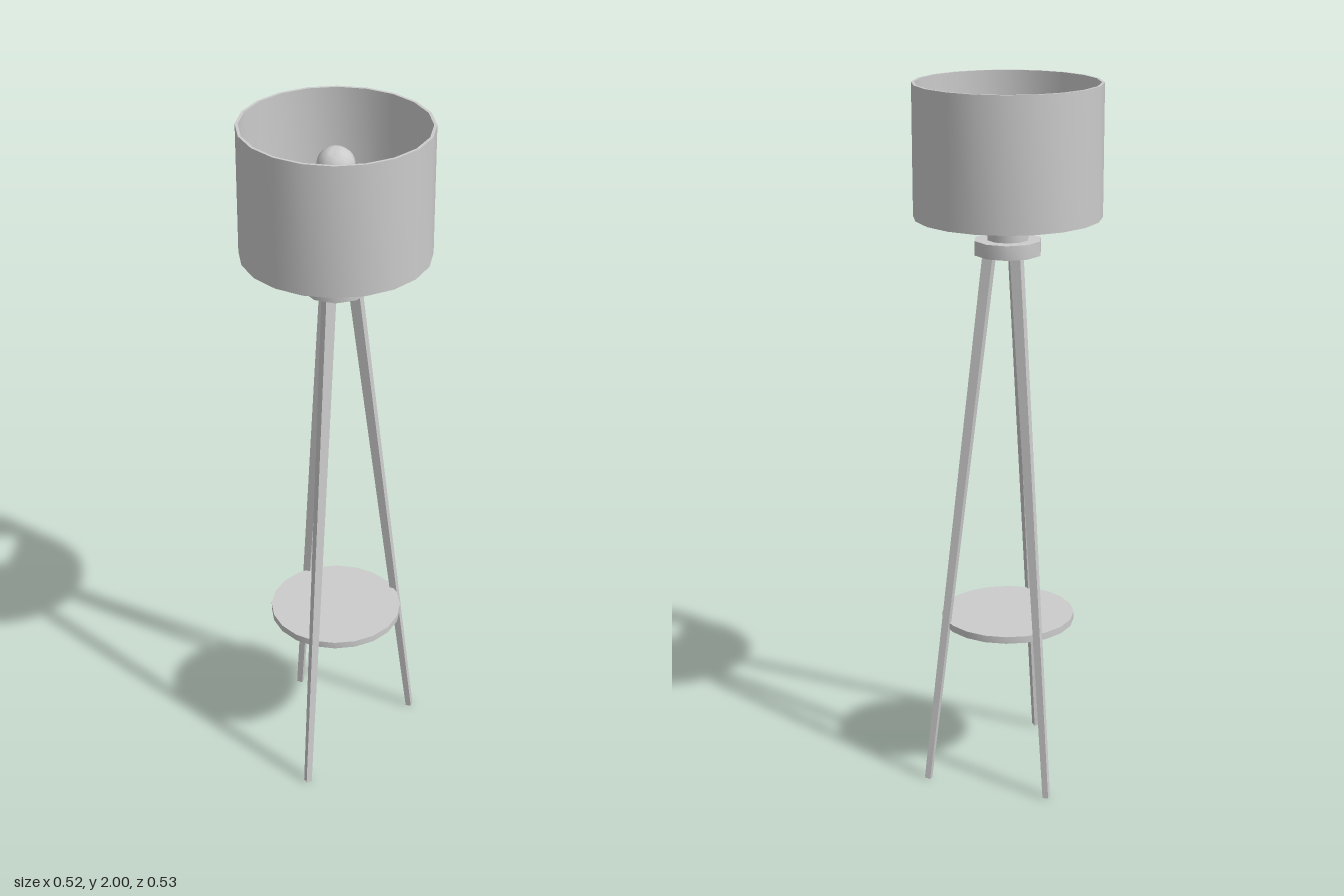
import * as THREE from 'three';
import { toCreasedNormals } from 'three/addons/utils/BufferGeometryUtils.js';

const grey = new THREE.MeshStandardMaterial({ color: 0xcccccc });
const greyFlat = new THREE.MeshStandardMaterial({ color: 0xcccccc, flatShading: true });

function add(parent, name, geometry, material = grey) {
  const mesh = new THREE.Mesh(geometry, material);
  mesh.name = name;
  parent.add(mesh);
  return mesh;
}

// Turned part from a profile of [radius, height], listed upwards on the outside
function turned(profile, sides, start = 0) {
  const points = profile.map(([r, y]) => new THREE.Vector2(r, y));
  return toCreasedNormals(new THREE.LatheGeometry(points, sides, start), 0.75);
}

// Solid disc or drum between two heights
function drum(radius, y0, y1, sides, start) {
  return turned([[0, y0], [radius, y0], [radius, y1], [0, y1]], sides, start);
}

// Tapered four-sided leg with one ridge facing outwards
function addLeg(parent, name, angle) {
  const foot = new THREE.Vector3(0, 0.0015, 0.256);
  const top = new THREE.Vector3(0, 1.545, 0.055);
  const axis = top.clone().sub(foot);
  const pivot = new THREE.Group();
  pivot.rotation.y = angle;
  const leg = add(pivot, name, new THREE.CylinderGeometry(0.021, 0.012, axis.length(), 4), greyFlat);
  leg.position.copy(foot).add(top).multiplyScalar(0.5);
  leg.quaternion.setFromUnitVectors(new THREE.Vector3(0, 1, 0), axis.normalize());
  parent.add(pivot);
}

export function createModel() {
  const lamp = new THREE.Group();
  lamp.name = 'tripodFloorLamp';
  lamp.position.z = -0.0065;

  // Tripod: one leg in front, two splayed to the back
  addLeg(lamp, 'frontLeg', 0);
  addLeg(lamp, 'backLeftLeg', Math.PI * 0.75);
  addLeg(lamp, 'backRightLeg', -Math.PI * 0.75);

  // Round shelf between the legs
  add(lamp, 'shelf', drum(0.19, 0.46, 0.48, 20));

  // Collar holding the legs, and the socket above it
  add(lamp, 'collar', drum(0.094, 1.535, 1.575, 10, Math.PI / 2));
  add(lamp, 'socket', drum(0.058, 1.575, 1.67, 10, Math.PI / 2));

  // Bulb: narrow stem swelling into a round top
  const bulb = [[0.04, 1.665], [0.04, 1.74], [0.043, 1.79], [0.049, 1.84]];
  for (let i = 0; i <= 8; i++) {
    const a = (i / 8) * Math.PI / 2;
    bulb.push([0.053 * Math.cos(a), 1.885 + 0.053 * Math.sin(a)]);
  }
  add(lamp, 'bulb', turned(bulb, 10, Math.PI / 2));

  // Open drum shade with a thin wall
  add(lamp, 'shade', turned(
    [[0.258, 1.638], [0.258, 2], [0.25, 2], [0.25, 1.638], [0.258, 1.638]], 20));

  // Crossed bars carrying the shade
  for (const turn of [0, Math.PI / 2]) {
    const bar = add(lamp, 'shadeBar', new THREE.BoxGeometry(0.498, 0.009, 0.009));
    bar.position.y = 1.644;
    bar.rotation.y = turn;
  }

  const model = new THREE.Group();
  model.add(lamp);
  return model;
}
